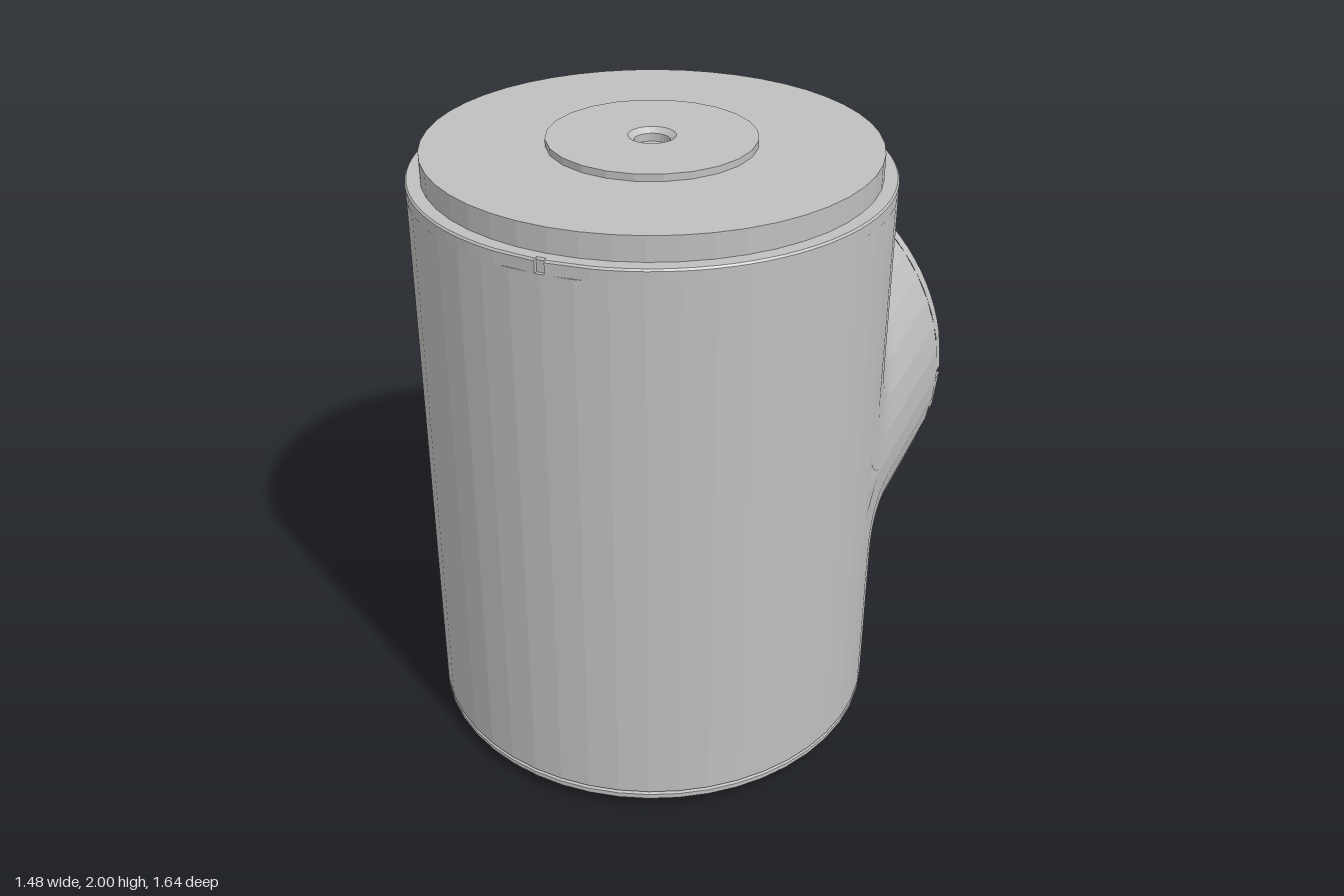
import * as THREE from 'three';

const R = 0.74, SIDES = 48, AXIS_Y = 0.92, END = 0.9;

// Even, faceted shading
function facet(geometry) {
  const g = geometry.index ? geometry.toNonIndexed() : geometry;
  g.computeVertexNormals();
  return g;
}

function lathe(points, sides = SIDES, start = 0, length = Math.PI * 2) {
  return new THREE.LatheGeometry(points.map(([r, y]) => new THREE.Vector2(r, y)), sides, start, length);
}

// Turned rim whose outer wall is pinched into narrow grooves at the given angles
function groovedRim(points, grooves) {
  const sides = SIDES * 2, step = (Math.PI * 2) / sides;
  const g = lathe(points, sides);
  const p = g.attributes.position;
  for (let i = 0; i < p.count; i++) {
    const r = Math.hypot(p.getX(i), p.getZ(i));
    if (r < 0.73) continue;
    const angle = Math.atan2(p.getX(i), p.getZ(i));
    for (const groove of grooves) {
      const turn = angle - groove;
      const k = Math.round(Math.atan2(Math.sin(turn), Math.cos(turn)) / step);
      if (Math.abs(k) > 2) continue;
      const a = groove + [0, 0.019, 0.02][Math.abs(k)] * Math.sign(k);
      const depth = Math.abs(k) < 2 ? 0.012 : 0;
      p.setX(i, (r - depth) * Math.sin(a));
      p.setZ(i, (r - depth) * Math.cos(a));
    }
  }
  return g;
}

// Curved web between barrel and branch; each row is a bend at constant x
function blendGeometry(side) {
  const rows = SIDES / 2, cols = 8, position = [], index = [];
  for (let i = 0; i <= rows; i++) {
    const t = (i / rows) * Math.PI;
    const c = R * Math.sin(t);
    const reach = 0.223 - 0.2 * Math.sin(t);
    for (let j = 0; j <= cols; j++) {
      const u = j / cols;
      position.push(R * Math.cos(t), AXIS_Y + side * (c + reach * (1 - u) ** 2), -(c + reach * u * u));
      if (i < rows && j < cols) {
        const a = i * (cols + 1) + j, b = a + cols + 1;
        if (side > 0) index.push(a, a + 1, b, b, a + 1, b + 1);
        else index.push(a, b, a + 1, b, b + 1, a + 1);
      }
    }
  }
  const g = new THREE.BufferGeometry();
  g.setAttribute('position', new THREE.Float32BufferAttribute(position, 3));
  g.setIndex(index);
  return g;
}

export function createModel() {
  const model = new THREE.Group();
  model.name = 'pipeTee';
  model.position.z = 0.08;
  const grey = new THREE.MeshStandardMaterial({ color: 0xbfbfbf });
  grey.name = 'grey';

  function add(name, geometry) {
    const mesh = new THREE.Mesh(facet(geometry), grey);
    mesh.name = name;
    model.add(mesh);
  }

  // Upright barrel with a top rim grooved at front and back
  add('barrel', new THREE.CylinderGeometry(R, R, 1.79, SIDES).translate(0, 0.965, 0));
  add('barrelRim', groovedRim([[R, 1.86], [R, 1.896], [0.735, 1.902], [0.69, 1.902]], [0, Math.PI]));

  // Lid and raised boss with a centre hole
  add('lid', lathe([[0.695, 1.9], [0.695, 1.978], [0.3, 1.978]]));
  add('boss', lathe([[0.32, 1.97], [0.32, 2], [0.073, 2], [0.055, 1.985], [0.055, 1.96], [0, 1.96]], 24));

  // Side branch with a raised end ring around a recessed face
  add('branch', new THREE.CylinderGeometry(R, R, END - 0.05, SIDES, 1, true)
    .rotateX(-Math.PI / 2).translate(0, AXIS_Y, -(END - 0.05) / 2));
  add('branchRim', groovedRim(
    [[R, END - 0.05], [R, END - 0.006], [0.734, END], [0.718, END], [0.71, END - 0.006], [0.692, END - 0.045]],
    [Math.PI / 2]).rotateX(-Math.PI / 2).translate(0, AXIS_Y, 0));
  add('branchFace', new THREE.CircleGeometry(0.694, SIDES * 2).rotateY(Math.PI).translate(0, AXIS_Y, -(END - 0.045)));

  // Upper and lower webs
  add('upperBlend', blendGeometry(1));
  add('lowerBlend', blendGeometry(-1));

  // Base plate and the lip above its bevel
  add('basePlate', lathe([[0, 0], [0.58, 0]]));
  add('baseLip', lathe([[0.72, 0.03], [0.735, 0.036], [R, 0.045], [R, 0.058], [0.728, 0.062], [0.728, 0.07]]));

  // Base bevel: plain arcs between four drilled sectors on the diagonals
  const slope = (x, z) => (Math.hypot(x, z) - 0.58) * (0.03 / 0.14);
  const raise = (g, limit) => {
    const p = g.attributes.position;
    for (let i = 0; i < p.count; i++) if (p.getY(i) < limit) p.setY(i, slope(p.getX(i), p.getZ(i)));
    return g;
  };
  const half = Math.PI / 24;
  for (let k = 0; k < 4; k++) {
    const mid = (k + 0.5) * Math.PI / 2;
    add('baseBevel', lathe([[0.58, 0], [0.72, 0.03]], 10, mid + half, Math.PI / 2 - 2 * half));

    const polar = (r, a) => new THREE.Vector2(r * Math.cos(a), r * Math.sin(a));
    const centre = polar(0.662, mid);
    const sector = new THREE.Shape([
      polar(0.58, mid - half), polar(0.72, mid - half), polar(0.72, mid),
      polar(0.72, mid + half), polar(0.58, mid + half), polar(0.58, mid),
    ]);
    const hole = [];
    for (let i = 0; i < 24; i++) hole.push(polar(0.05, -(i / 24) * Math.PI * 2).add(centre));
    sector.holes.push(new THREE.Path(hole));
    add('drilledBevel', raise(new THREE.ShapeGeometry(sector).rotateX(Math.PI / 2), 0.03));

    // Pocket wall faces inward, closed by a floor
    const wall = new THREE.CylinderGeometry(0.05, 0.05, 0.06, 24, 1, true)
      .translate(centre.x, 0.03, centre.y);
    raise(wall, 0.03);
    wall.setIndex([...wall.index.array].reverse());
    add('pocketWall', wall);
    add('pocketFloor', new THREE.CircleGeometry(0.05, 24).rotateX(Math.PI / 2).translate(centre.x, 0.06, centre.y));
  }
  return model;
}
